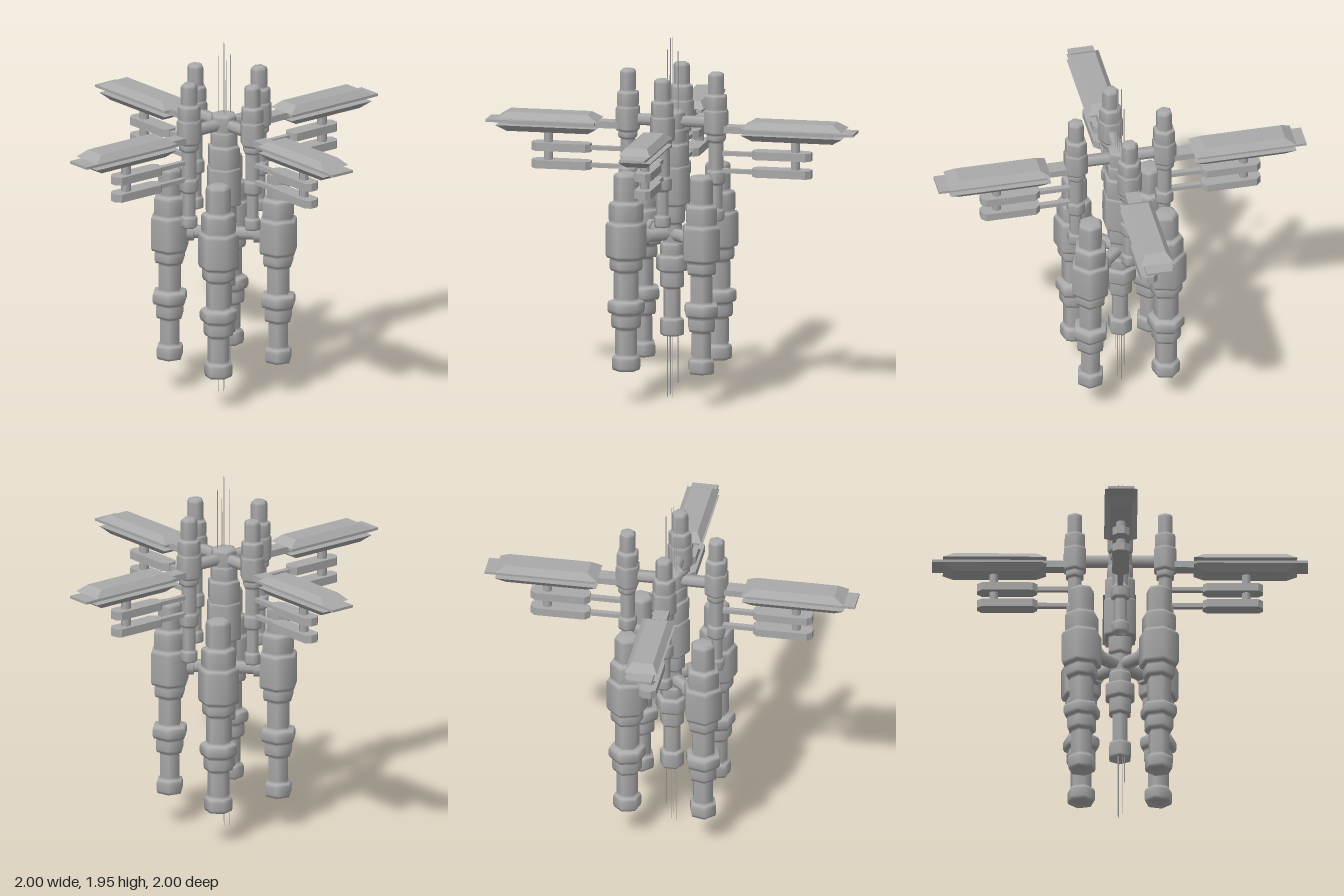
import * as THREE from 'three';

const hull = new THREE.MeshStandardMaterial({ color: 0xaaaaaa });
hull.name = 'hullGrey';

function add(parent, name, geo, x = 0, y = 0, z = 0) {
  const m = new THREE.Mesh(geo, hull);
  m.name = name;
  m.position.set(x, y, z);
  parent.add(m);
  return m;
}

// Six-sided stacked column; rows are [bottom, top, radius] from the ground up.
function column(rows, bevel = 0.012) {
  const pts = [];
  const p = (r, y) => pts.push(new THREE.Vector2(r, y));
  const [b, , rb] = rows[0];
  p(0, b + 0.03); p(rb * 0.6, b + 0.03); p(rb * 0.75, b); // recessed foot
  rows.forEach(([y0, y1, r]) => {
    const d = Math.min(bevel, (y1 - y0) / 4);
    p(r * 0.93, y0); p(r, y0 + d); p(r, y1 - d); p(r * 0.93, y1);
  });
  const [, t, rt] = rows[rows.length - 1];
  p(rt * 0.7, t + 0.008); p(0, t + 0.008);
  return new THREE.LatheGeometry(pts, 6);
}

// Slab whose top (or bottom, for sign -1) face is inset.
function taperedSlab(l, h, w, insetX, insetZ, sign) {
  const g = new THREE.BoxGeometry(l, h, w).toNonIndexed();
  const a = g.attributes.position;
  for (let i = 0; i < a.count; i++) {
    if (a.getY(i) * sign > 0) {
      a.setX(i, a.getX(i) - Math.sign(a.getX(i)) * insetX);
      a.setZ(i, a.getZ(i) - Math.sign(a.getZ(i)) * insetZ);
    }
  }
  g.computeVertexNormals();
  return g;
}

// Flat block with clipped corners seen from above.
function clippedBlock(l, h, w, c) {
  const x = l / 2, z = w / 2;
  const s = new THREE.Shape([
    [-x + c, -z], [x - c, -z], [x, -z + c], [x, z - c],
    [x - c, z], [-x + c, z], [-x, z - c], [-x, -z + c],
  ].map(([u, v]) => new THREE.Vector2(u, v)));
  return new THREE.ExtrudeGeometry(s, { depth: h, bevelEnabled: false })
    .rotateX(-Math.PI / 2).translate(0, -h / 2, 0);
}

// Horizontal six-sided strut along x.
function strut(x0, x1, r, name, parent, y) {
  const g = new THREE.CylinderGeometry(r, r, x1 - x0, 6).rotateZ(Math.PI / 2);
  add(parent, name, g, (x0 + x1) / 2, y, 0);
}

const coreRows = [
  [0.34, 0.43, 0.066], [0.43, 0.6, 0.046], [0.6, 0.69, 0.066], [0.69, 0.77, 0.088],
  [0.77, 0.84, 0.066], [0.84, 0.95, 0.055], [0.95, 1.05, 0.07], [1.05, 1.26, 0.098],
  [1.26, 1.38, 0.092], [1.38, 1.46, 0.078], [1.46, 1.55, 0.072],
];
const towerRows = [
  [0.97, 1.03, 0.046], [1.03, 1.17, 0.035], [1.17, 1.24, 0.052], [1.24, 1.4, 0.041],
  [1.4, 1.44, 0.054], [1.44, 1.57, 0.068], [1.57, 1.65, 0.062], [1.65, 1.763, 0.045],
];
const podRows = [
  [0.18, 0.255, 0.076], [0.255, 0.41, 0.058], [0.41, 0.49, 0.08], [0.49, 0.555, 0.1],
  [0.555, 0.72, 0.066], [0.72, 0.79, 0.088], [0.79, 0.98, 0.11], [0.98, 1.09, 0.093],
  [1.09, 1.24, 0.068],
];

// Tower with its panel boom and instrument arms, pointing along +x
function makeWing() {
  const g = new THREE.Group();
  g.name = 'wing';
  add(g, 'tower', column(towerRows), 0.24);
  strut(0.03, 0.24, 0.033, 'towerSpoke', g, 1.5);
  add(g, 'panelBoom', new THREE.BoxGeometry(0.2, 0.036, 0.08), 0.37, 1.468);

  // layered panel
  add(g, 'upperPanel', taperedSlab(0.55, 0.034, 0.174, 0.055, 0.03, 1), 0.667, 1.504);
  add(g, 'middlePanel', new THREE.BoxGeometry(0.59, 0.014, 0.14), 0.705, 1.47);
  add(g, 'lowerPanel', taperedSlab(0.55, 0.034, 0.174, 0.055, 0.03, -1), 0.667, 1.434);
  add(g, 'panelSpacer', new THREE.BoxGeometry(0.44, 0.06, 0.08), 0.66, 1.469);

  // instrument arms and the post tying them to the panel
  for (const y of [1.335, 1.24]) {
    add(g, 'armRod', new THREE.BoxGeometry(0.22, 0.022, 0.03), 0.35, y);
    add(g, 'armBlock', clippedBlock(0.32, 0.044, 0.09, 0.025), 0.6, y);
  }
  add(g, 'armPost', new THREE.CylinderGeometry(0.026, 0.026, 0.19, 6), 0.672, 1.33);
  return g;
}

// Large hanging pod with its spoke, pointing along +x
function makePod() {
  const g = new THREE.Group();
  g.name = 'pod';
  add(g, 'podBody', column(podRows, 0.016), 0.29);
  strut(0.02, 0.29, 0.036, 'podSpoke', g, 0.89);
  add(g, 'podSocket', new THREE.CylinderGeometry(0.05, 0.05, 0.05, 6).rotateZ(Math.PI / 2), 0.185, 0.89);
  return g;
}

export function createModel() {
  const model = new THREE.Group();
  model.name = 'spaceStation';
  add(model, 'core', column(coreRows));

  for (let i = 0; i < 4; i++) {
    const wing = makeWing();
    wing.rotation.y = i * Math.PI / 2;
    const pod = makePod();
    pod.rotation.y = (i + 0.5) * Math.PI / 2;
    model.add(wing, pod);
  }

  // thin antennas: x, z, upper tip, lower tip
  for (const [x, z, top, bottom] of [
    [-0.015, -0.03, 1.84, 0.12], [0.012, -0.035, 1.88, 0.08], [-0.008, 0, 1.95, 0],
    [0.012, 0.005, 1.95, 0.02], [-0.015, 0.028, 1.88, 0.0], [0.024, 0.01, 1.75, 0.2],
  ]) {
    const rod = (y0, y1) => new THREE.CylinderGeometry(0.002, 0.002, y1 - y0, 4).translate(0, (y0 + y1) / 2, 0);
    add(model, 'upperAntenna', rod(1.5, top), x, 0, z);
    add(model, 'lowerAntenna', rod(bottom, 0.4), x, 0, z);
  }
  return model;
}
